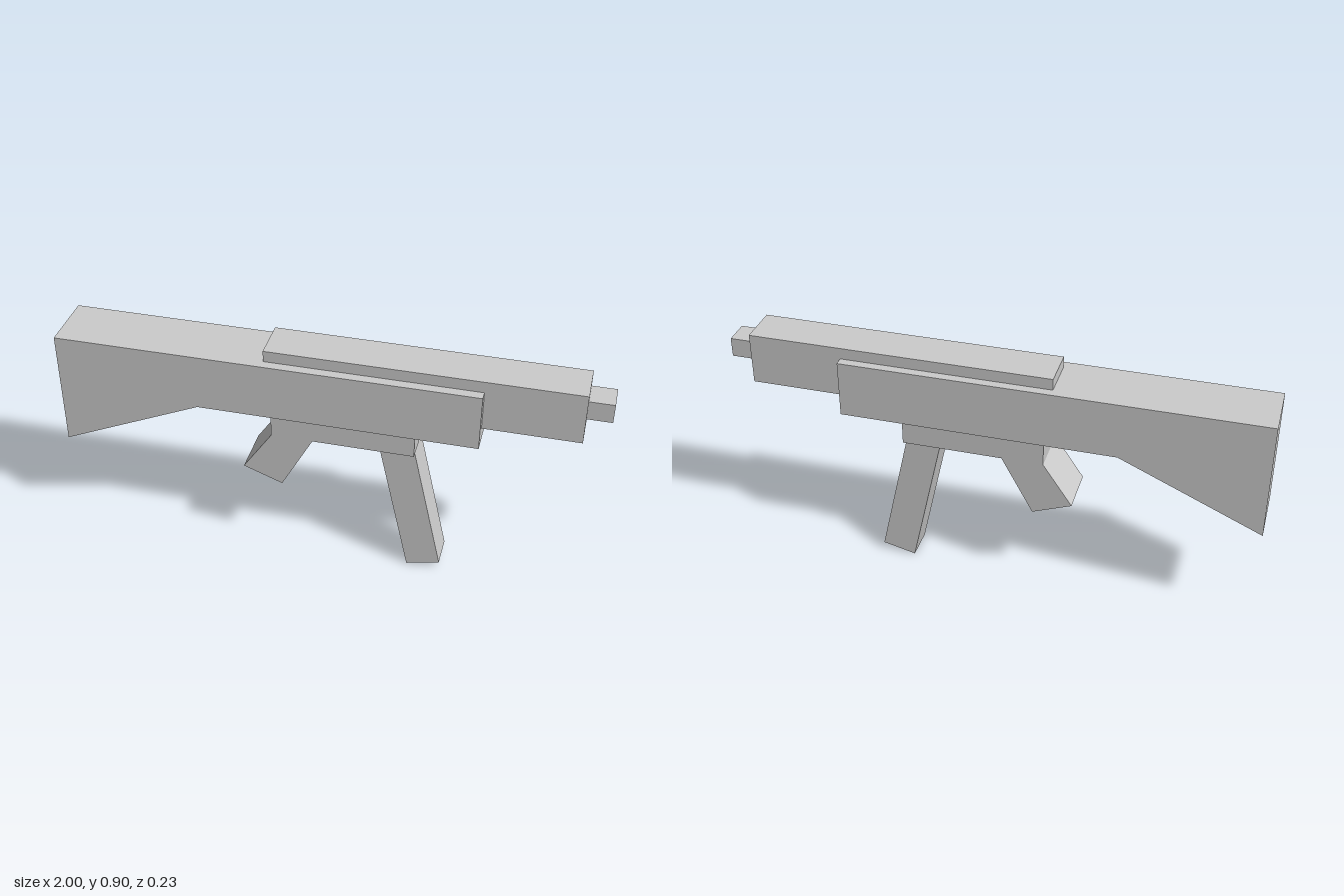
import * as THREE from 'three';

const material = new THREE.MeshStandardMaterial({ color: 0xcccccc, flatShading: true });

// Side outline in x/y, extruded from z0 to z1
function slab(name, outline, z0, z1) {
  const shape = new THREE.Shape(outline.map(([x, y]) => new THREE.Vector2(x, y)));
  const geometry = new THREE.ExtrudeGeometry(shape, { depth: z1 - z0, bevelEnabled: false });
  geometry.translate(0, 0, z0);
  const mesh = new THREE.Mesh(geometry, material);
  mesh.name = name;
  return mesh;
}

// Axis-aligned block given by its limits
function block(name, x0, x1, y0, y1, z0, z1) {
  const mesh = new THREE.Mesh(new THREE.BoxGeometry(x1 - x0, y1 - y0, z1 - z0), material);
  mesh.position.set((x0 + x1) / 2, (y0 + y1) / 2, (z0 + z1) / 2);
  mesh.name = name;
  return mesh;
}

export function createModel() {
  const model = new THREE.Group();
  model.name = 'rifle';

  // Long body with the flared shoulder stock at its rear
  model.add(slab('bodyAndStock', [
    [-1, 0.405], [-0.47, 0.64], [0.56, 0.64], [0.56, 0.855], [-1, 0.855],
  ], -0.115, 0.115));

  // Barrel housing and muzzle
  model.add(block('barrelHousing', -0.225, 0.91, 0.703, 0.898, -0.081, 0.079));
  model.add(block('muzzle', 0.91, 1, 0.782, 0.855, -0.052, 0.046));

  // Lower receiver with the slanted pistol grip
  model.add(slab('receiverAndGrip', [
    [-0.2, 0.64], [-0.2, 0.545], [-0.31, 0.383], [-0.163, 0.327],
    [-0.045, 0.545], [0.33, 0.545], [0.33, 0.64],
  ], -0.097, 0.093));

  // Magazine leaning forward
  model.add(slab('magazine', [
    [0.195, 0.545], [0.315, 0], [0.44, 0.03], [0.325, 0.545],
  ], -0.064, 0.06));

  return model;
}
